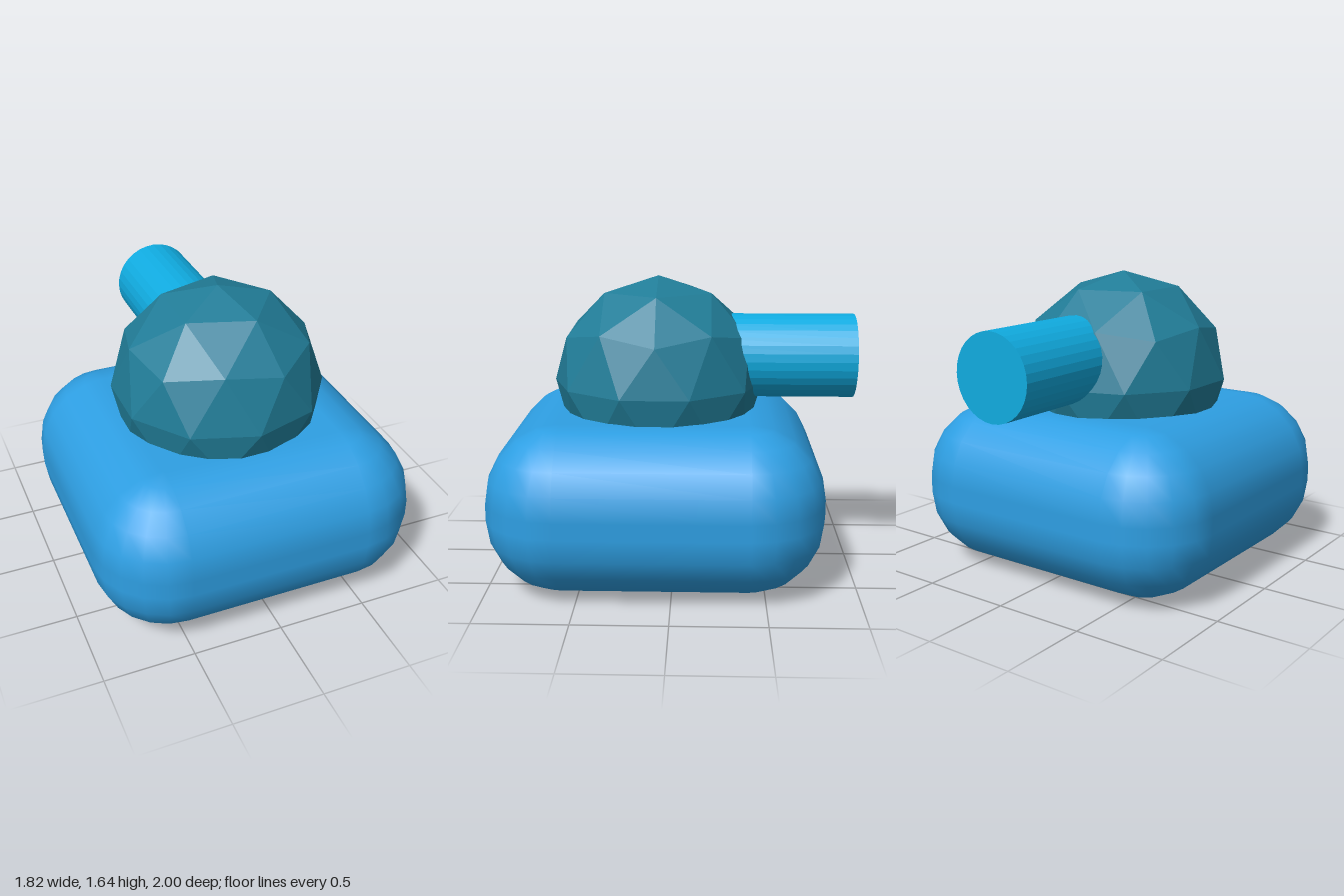
import * as THREE from 'three';

// Rounded block: a latitude/longitude sphere split at its axes and pushed out
// to the eight corners of an inner box.
function roundedBlock(hx, hy, hz, radius, steps) {
  const n = steps + 1, cols = 4 * n, rows = 2 * n;
  const quarter = Math.PI / 2;
  const pos = [], nor = [], idx = [];
  for (let r = 0; r < rows; r++) {
    const top = r < n;
    const lat = quarter - (top ? r : r - 1) * quarter / steps;
    for (let c = 0; c < cols; c++) {
      const q = Math.floor(c / n);
      const lon = (q + (c % n) / steps) * quarter;
      const d = [Math.cos(lat) * Math.cos(lon), Math.sin(lat), Math.cos(lat) * Math.sin(lon)];
      const sx = q === 0 || q === 3 ? 1 : -1, sz = q < 2 ? 1 : -1;
      pos.push(sx * hx + d[0] * radius, (top ? hy : -hy) + d[1] * radius, sz * hz + d[2] * radius);
      nor.push(...d);
      if (r < rows - 1) {
        const a = r * cols + c, b = r * cols + (c + 1) % cols;
        idx.push(a, b, a + cols, b, b + cols, a + cols);
      }
    }
  }
  // flat top and bottom
  const e = (rows - 1) * cols;
  idx.push(0, 2 * n, n, 0, 3 * n, 2 * n);
  idx.push(e, e + n, e + 2 * n, e, e + 2 * n, e + 3 * n);
  const g = new THREE.BufferGeometry();
  g.setAttribute('position', new THREE.Float32BufferAttribute(pos, 3));
  g.setAttribute('normal', new THREE.Float32BufferAttribute(nor, 3));
  g.setIndex(idx);
  return g;
}

export function createModel() {
  const model = new THREE.Group();
  const add = (name, geometry, color, x, y, z, flatShading) => {
    const mesh = new THREE.Mesh(geometry, new THREE.MeshStandardMaterial({ color, flatShading }));
    mesh.name = name;
    mesh.position.set(x, y, z);
    model.add(mesh);
  };

  // soft-edged base
  add('base', roundedBlock(0.5, 0.045, 0.5, 0.41, 5), 0x2e9fe3, 0, 0.455, 0.09, false);

  // faceted dome with one corner pointing straight up
  const dome = new THREE.IcosahedronGeometry(0.59, 1);
  dome.rotateZ(Math.atan(2 / (1 + Math.sqrt(5))));
  dome.rotateY(Math.PI);
  add('dome', dome, 0x217d98, 0, 1.05, 0.09, true);

  // barrel leaving the back of the dome
  const barrel = new THREE.CylinderGeometry(0.233, 0.233, 0.9, 32);
  barrel.rotateX(Math.PI / 2);
  add('barrel', barrel, 0x10abe0, 0.02, 1.197, -0.55, true);

  return model;
}
